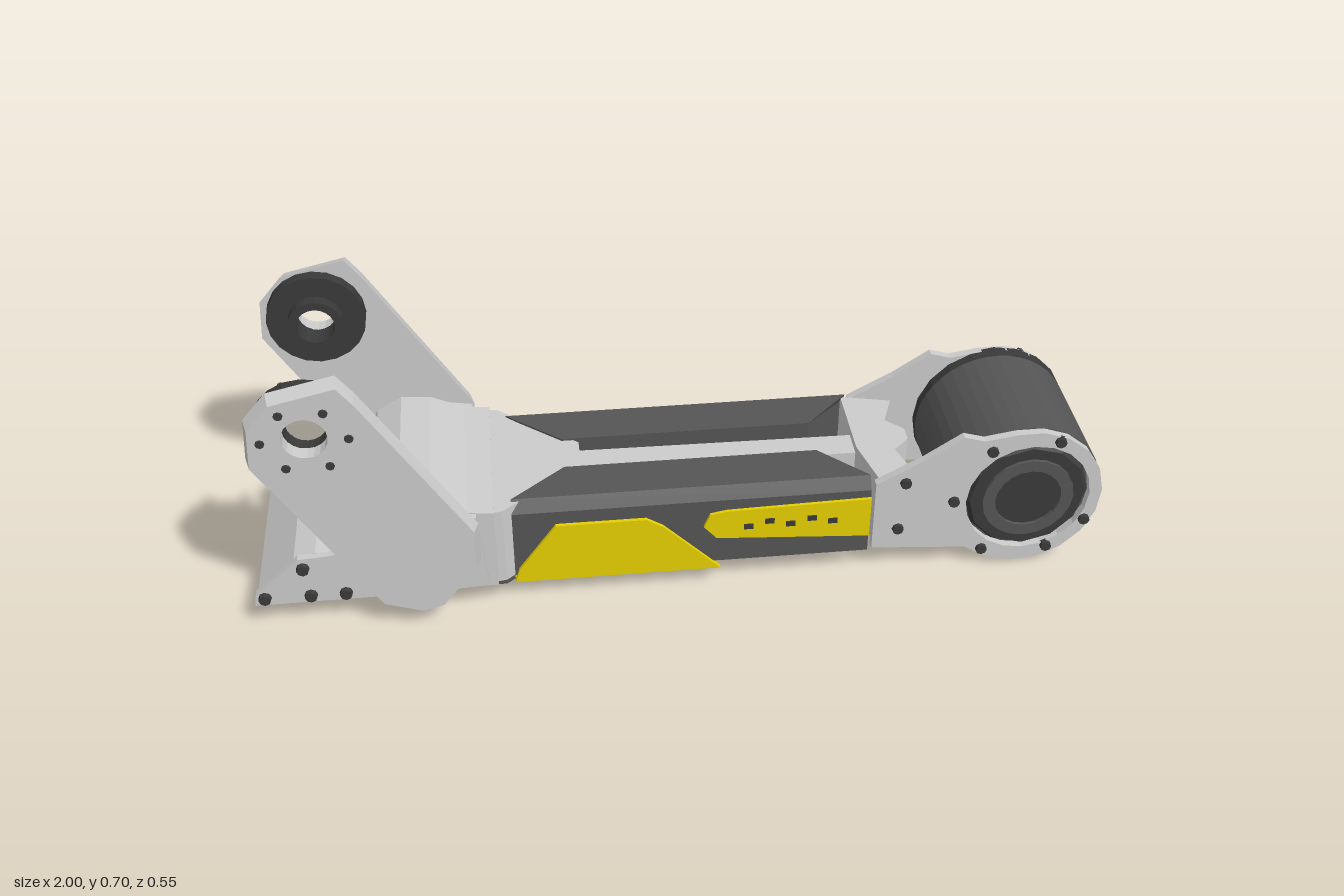
import * as THREE from 'three';

const mat = (color) => new THREE.MeshStandardMaterial({ color, flatShading: true, side: THREE.DoubleSide });

export function createModel() {
  const root = new THREE.Group();
  const light = mat(0xcccccc), dark = mat(0x555555), black = mat(0x3a3a3a), yellow = mat(0xe6cf00);

  const add = (name, geo, material) => {
    const m = new THREE.Mesh(geo, material);
    m.name = name;
    root.add(m);
    return m;
  };
  const toShape = (pts) => new THREE.Shape(pts.map(([x, y]) => new THREE.Vector2(x, y)));
  const hole = (shape, x, y, r) => {
    shape.holes.push(new THREE.Path().absarc(x, y, r, 0, Math.PI * 2, true));
    return shape;
  };
  // side profile (x, y) pushed from z0 to z1
  const prism = (shape, z0, z1) =>
    new THREE.ExtrudeGeometry(shape, { depth: z1 - z0, bevelEnabled: false, curveSegments: 10 }).translate(0, 0, z0);
  // plan outline (x, z) pushed from y0 to y1
  const slab = (pts, y0, y1, steps = 1) =>
    new THREE.ExtrudeGeometry(toShape(pts), { depth: y1 - y0, steps, bevelEnabled: false })
      .rotateX(Math.PI / 2).translate(0, y1, 0);
  // prism on side s, between distances a < b from the middle
  const sidePrism = (shape, s, a, b) => (s > 0 ? prism(shape, a, b) : prism(shape, -b, -a));
  const disc = (x, y, z0, z1, r0, r1 = r0, n = 24) =>
    new THREE.CylinderGeometry(r1, r0, Math.abs(z1 - z0), n)
      .rotateX(z1 > z0 ? Math.PI / 2 : -Math.PI / 2).translate(x, y, (z0 + z1) / 2);
  const ring = (x, y, r, inner) => hole(new THREE.Shape().absarc(x, y, r, 0, Math.PI * 2), x, y, inner);

  // central spine, flaring into the rear housing
  add('spine', slab([
    [-0.45, -0.2], [-0.42, -0.2], [-0.23, -0.045], [0.48, -0.035],
    [0.48, 0.035], [-0.23, 0.045], [-0.42, 0.2], [-0.45, 0.2]], 0.08, 0.25), light);
  add('spineShoulder', slab([
    [-0.47, -0.21], [-0.42, -0.2], [-0.23, -0.045], [-0.23, 0.045], [-0.42, 0.2], [-0.47, 0.21]], 0.07, 0.275), light);

  // rear housing and rounded end bar
  add('rearHousing', prism(toShape([
    [-0.44, 0.065], [-0.44, 0.278], [-0.5, 0.285], [-0.58, 0.32], [-0.65, 0.325],
    [-0.71, 0.29], [-0.745, 0.22], [-0.73, 0.14], [-0.68, 0.09], [-0.62, 0.065]]), -0.21, 0.21), light);
  add('housingFloor', slab([
    [-0.66, -0.2], [-0.42, -0.2], [-0.3, -0.1], [-0.3, 0.1], [-0.42, 0.2], [-0.66, 0.2]], 0.058, 0.068), dark);
  add('endBar', prism(toShape([
    [-0.995, 0.07], [-0.99, 0.1], [-0.9, 0.185], [-0.85, 0.2], [-0.815, 0.19],
    [-0.83, 0.16], [-0.89, 0.12], [-0.92, 0.07]]), -0.21, 0.21), light);

  // crosspiece joining spine and fork
  add('forkCrosspiece', slab([
    [0.43, -0.17], [0.55, -0.14], [0.52, -0.06], [0.56, -0.02], [0.56, 0.02],
    [0.52, 0.06], [0.55, 0.165], [0.46, 0.17], [0.43, 0.04], [0.43, -0.04]], 0.08, 0.27), light);

  // motor drum with its raised back rim
  const mx = 0.81, my = 0.195;
  add('motorDrum', disc(mx, my, -0.14, 0.165, 0.19, 0.19, 40), dark);
  add('motorBackRim', disc(mx, my, -0.175, -0.14, 0.192, 0.192, 20), black);
  add('drumWindow', new THREE.BoxGeometry(0.012, 0.08, 0.025).translate(0.995, 0.195, -0.112), light);

  // lower yellow guard
  add('guardFloor', slab([[-0.4, -0.185], [0.08, -0.185], [0.08, 0.185], [-0.4, 0.185]], 0.053, 0.066), yellow);

  for (const s of [1, -1]) {
    const side = s > 0 ? 'front' : 'back';

    // dark cover with softened top edge
    const cover = slab([[-0.4, s * 0.185], [0.44, s * 0.185], [0.33, s * 0.055], [-0.27, s * 0.055]], 0.07, 0.28, 7);
    const p = cover.attributes.position;
    for (let i = 0; i < p.count; i++)
      if (p.getY(i) > 0.275 && Math.abs(p.getZ(i)) > 0.18) p.setZ(i, s * 0.165);
    add(side + 'Cover', cover, dark);

    // yellow guard cheek and upper inlay
    add(side + 'GuardCheek', sidePrism(toShape([
      [-0.4, 0.055], [0.085, 0.055], [-0.05, 0.19], [-0.09, 0.215], [-0.3, 0.215], [-0.39, 0.09]]), s, 0.183, 0.194), yellow);
    add(side + 'Inlay', sidePrism(toShape([
      [0.075, 0.145], [0.44, 0.12], [0.44, 0.23], [0.1, 0.222], [0.06, 0.215], [0.045, 0.18]]), s, 0.183, 0.193), yellow);
    for (let i = 0; i < 5; i++)
      add(side + 'InlaySlot', new THREE.BoxGeometry(0.022, 0.014, 0.004)
        .translate(0.15 + i * 0.05, 0.175 + (i % 2) * 0.012, s * 0.194), black);

    // fork plate around the motor
    const fork = [[0.45, 0.075], [0.45, 0.265], [0.56, 0.325], [0.65, 0.385], [0.7, 0.37]];
    for (let i = 0; i <= 12; i++) {
      const a = 1.75 - i * 0.34;
      fork.push([mx + 0.19 * Math.cos(a), my + 0.19 * Math.sin(a)]);
    }
    add(side + 'ForkPlate', sidePrism(hole(toShape(fork), mx + 0.01, my, 0.15), s, 0.165, 0.185), light);
    add(side + 'MotorCap', disc(mx + 0.01, my, s * 0.16, s * 0.18, 0.152, 0.14, 12), black);
    add(side + 'MotorHub', sidePrism(ring(mx + 0.01, my, 0.11, 0.08), s, 0.175, 0.188), dark);
    for (const [x, y] of [[0.52, 0.265], [0.51, 0.13], [0.64, 0.2], [0.72, 0.34], [0.72, 0.05], [0.88, 0.045], [0.965, 0.12], [0.88, 0.355]])
      add(side + 'ForkBolt', disc(x, y, s * 0.18, s * 0.194, 0.015, 0.013, 8), black);

    // low triangular bracket on the rear housing
    add(side + 'RearBracket', sidePrism(toShape([
      [-1, 0.068], [-0.995, 0.1], [-0.89, 0.195], [-0.82, 0.2], [-0.66, 0.23],
      [-0.6, 0.3], [-0.48, 0.28], [-0.46, 0.08], [-0.62, 0.07]]), s, 0.208, 0.226), light);
    for (const [x, y] of [[-0.975, 0.09], [-0.88, 0.17], [-0.87, 0.09], [-0.79, 0.09]])
      add(side + 'BracketBolt', disc(x, y, s * 0.222, s * 0.238, 0.016, 0.014, 8), black);

    // tall slanted arm, lower spacer and the ring at its tip
    const ax = -0.827, ay = 0.56;
    const arm = toShape([
      [-0.962, 0.5], [-0.955, 0.6], [-0.9, 0.665], [-0.75, 0.7], [-0.715, 0.655], [-0.475, 0.275],
      [-0.475, 0.17], [-0.56, 0.06], [-0.61, 0.045], [-0.7, 0.075]]);
    const armGeo = sidePrism(hole(arm, ax, ay + 0.005, 0.05), s, 0.237, 0.273);
    // slim the outer face towards the rim
    const q = armGeo.attributes.position;
    for (let i = 0; i < q.count; i++) {
      const far = Math.hypot(q.getX(i) - ax, q.getY(i) - ay) > 0.08;
      if (far && Math.abs(q.getZ(i)) > 0.27) {
        q.setX(i, -0.72 + (q.getX(i) + 0.72) * 0.96);
        q.setY(i, 0.37 + (q.getY(i) - 0.37) * 0.965);
      }
    }
    add(side + 'Arm', armGeo, light);
    add(side + 'ArmSpacer', disc(-0.6, 0.18, s * 0.2, s * 0.24, 0.1, 0.1, 14), light);
    add(side + 'TipRing', sidePrism(ring(ax, ay, 0.116, 0.045), s, 0.208, 0.238), black);
    if (s < 0) add('backTipCollar', sidePrism(ring(ax, ay, 0.065, 0.045), s, 0.18, 0.21), black);
    for (let i = 0; i < 6; i++) {
      const x = ax + 0.094 * Math.cos(i * Math.PI / 3), y = ay + 0.08 * Math.sin(i * Math.PI / 3);
      if (s > 0) add('tipPin', disc(x, y, 0.16, 0.21, 0.01, 0.01, 8), dark);
      add(side + 'TipBolt', disc(x, y, s * 0.268, s * 0.277, 0.011, 0.01, 8), black);
    }
  }
  return root;
}
